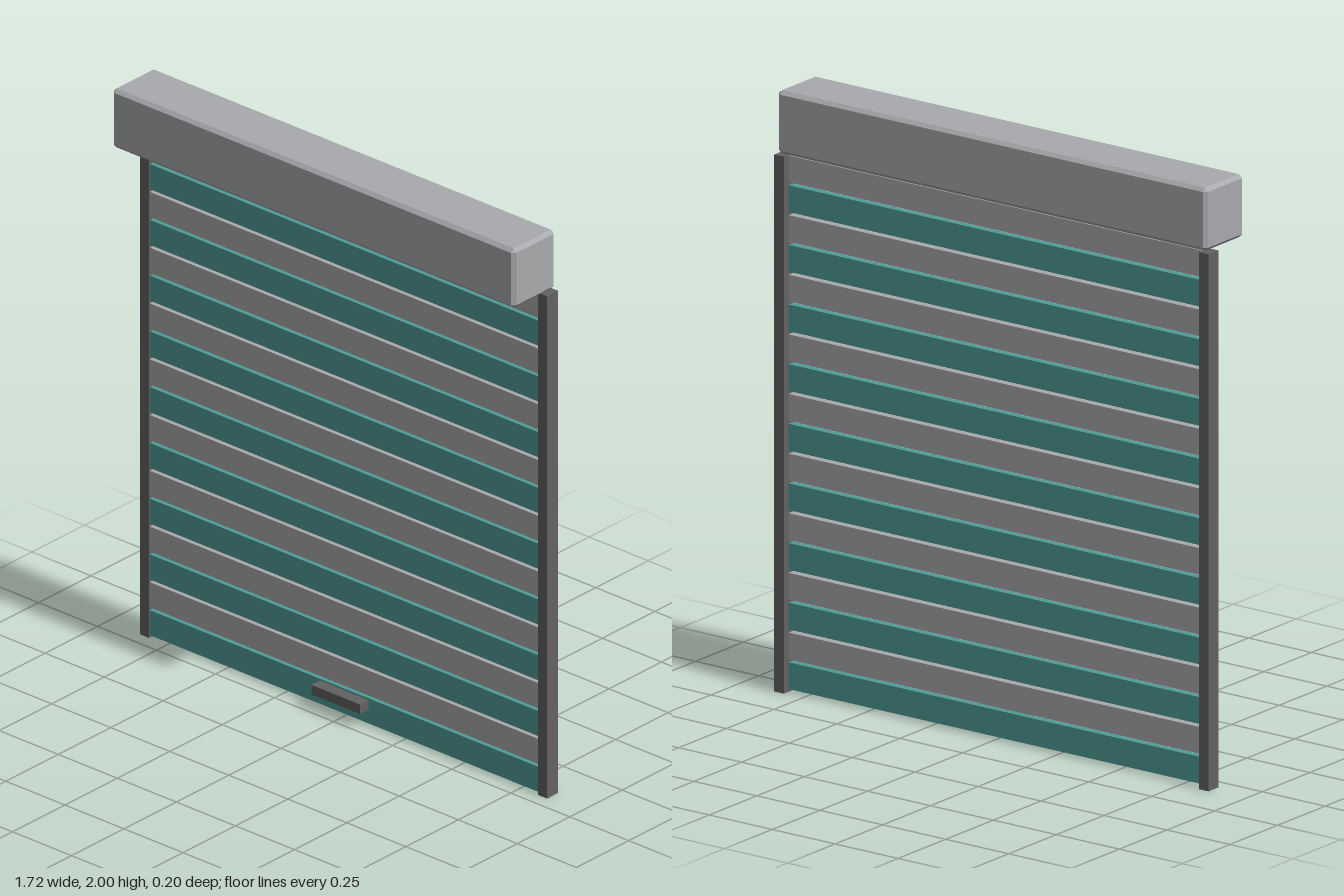
import * as THREE from 'three';
import { ConvexGeometry } from 'three/addons/geometries/ConvexGeometry.js';

const mat = (name, color) => {
  const m = new THREE.MeshStandardMaterial({ color });
  m.name = name;
  return m;
};

// Box with every edge cut at an angle
function chamferedBox(w, h, d, c) {
  const points = [];
  for (const sx of [-1, 1]) for (const sy of [-1, 1]) for (const sz of [-1, 1]) {
    const x = w / 2, y = h / 2, z = d / 2;
    points.push(
      new THREE.Vector3(sx * x, sy * (y - c), sz * (z - c)),
      new THREE.Vector3(sx * (x - c), sy * y, sz * (z - c)),
      new THREE.Vector3(sx * (x - c), sy * (y - c), sz * z));
  }
  return new ConvexGeometry(points);
}

export function createModel() {
  const group = new THREE.Group();
  group.name = 'rollerShutter';
  const hoodGrey = mat('hood grey', 0xa8aaad);
  const slatGrey = mat('slat grey', 0xaaaaad);
  const teal = mat('slat teal', 0x4f9c98);
  const dark = mat('dark grey', 0x626262);

  const add = (name, geometry, material, x, y, z) => {
    const mesh = new THREE.Mesh(geometry, material);
    mesh.name = name;
    mesh.position.set(x, y, z);
    group.add(mesh);
  };

  // Roll housing along the top
  add('hood', chamferedBox(1.705, 0.21, 0.2, 0.012), hoodGrey, 0, 1.895, 0);

  // Guide rails at both sides
  const rail = new THREE.BoxGeometry(0.038, 1.785, 0.052);
  add('leftRail', rail, dark, 0.843, 0.8925, -0.074);
  add('rightRail', rail, dark, -0.843, 0.8925, -0.074);

  // Alternating slats with narrow open gaps
  const slat = new THREE.BoxGeometry(1.66, 0.089, 0.024);
  for (let i = 0; i < 18; i++) {
    add(`slat${i + 1}`, slat, i % 2 ? slatGrey : teal, 0, 0.0535 + i * 0.0991, -0.063);
  }

  // Pull handle on the lowest slat
  add('handle', new THREE.BoxGeometry(0.206, 0.034, 0.042), dark, 0, 0.075, -0.031);
  return group;
}
